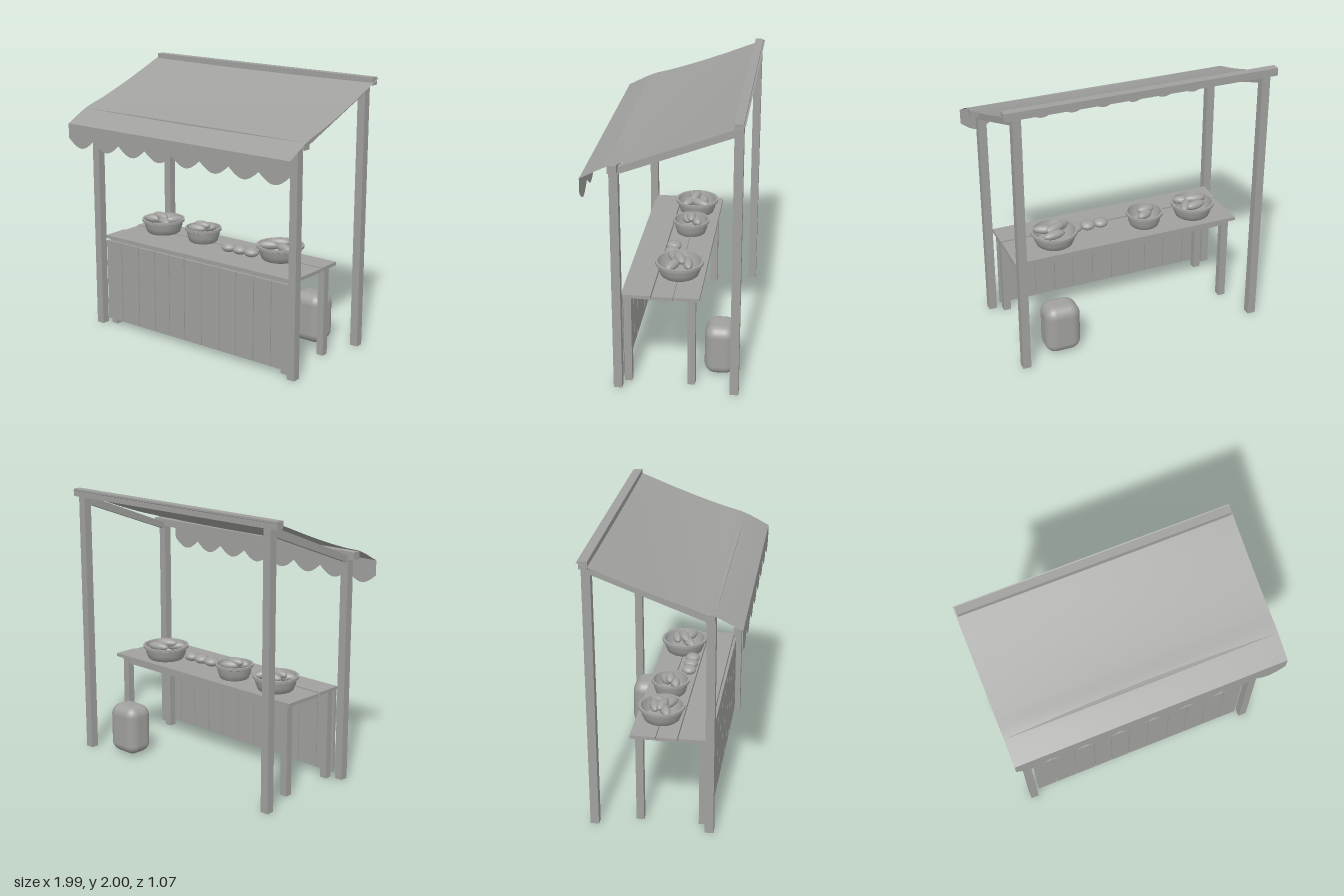
import * as THREE from 'three';
import { RoundedBoxGeometry } from 'three/addons/geometries/RoundedBoxGeometry.js';
import { toCreasedNormals } from 'three/addons/utils/BufferGeometryUtils.js';

const grey = new THREE.MeshStandardMaterial({ color: 0xa0a09e, side: THREE.DoubleSide });
grey.name = 'plain grey';

export function createModel() {
  const model = new THREE.Group();
  model.name = 'marketStall';

  const add = (name, geometry, x = 0, y = 0, z = 0, parent = model) => {
    const mesh = new THREE.Mesh(geometry, grey);
    mesh.name = name;
    mesh.position.set(x, y, z);
    parent.add(mesh);
    return mesh;
  };
  // box given by its extents
  const box = (name, x0, x1, y0, y1, z0, z1) =>
    add(name, new THREE.BoxGeometry(x1 - x0, y1 - y0, z1 - z0), (x0 + x1) / 2, (y0 + y1) / 2, (z0 + z1) / 2);

  // frame: posts, rafters and cross beams
  for (const s of [-1, 1]) {
    const cx = s * 0.9;
    box('frontPost', cx - 0.03, cx + 0.03, 0, 1.63, 0.29, 0.35);
    box('backPost', cx - 0.03, cx + 0.03, 0, 1.95, -0.52, -0.46);
    const side = new THREE.Shape([[0.3, 1.6], [0.3, 1.65], [-0.47, 1.95], [-0.47, 1.89]]
      .map(([z, y]) => new THREE.Vector2(-z, y)));
    const rafter = add('rafter', new THREE.ExtrudeGeometry(side, { depth: 0.05, bevelEnabled: false }), cx - 0.025);
    rafter.rotation.y = Math.PI / 2;
  }
  box('frontBeam', -0.98, 0.98, 1.625, 1.68, 0.29, 0.35);
  box('backBeam', -0.985, 0.985, 1.945, 2, -0.522, -0.463);

  // awning cloth, sagging a little in the middle
  const profile = new THREE.CatmullRomCurve3([
    [1.99, -0.535], [1.96, -0.45], [1.87, -0.22], [1.79, 0], [1.728, 0.19], [1.684, 0.34], [1.59, 0.53],
  ].map(([y, z]) => new THREE.Vector3(0, y, z)));
  const cloth = new THREE.PlaneGeometry(1.99, 1, 24, 24);
  const cp = cloth.attributes.position;
  for (let i = 0; i < cp.count; i++) {
    const x = cp.getX(i);
    const t = THREE.MathUtils.clamp(0.5 - cp.getY(i), 0, 1);
    const p = profile.getPoint(t);
    const sag = 0.018 * (1 - x * x) * Math.sin(Math.PI * t);
    cp.setXYZ(i, x, p.y - sag, p.z);
  }
  cloth.computeVertexNormals();
  add('awningCloth', cloth);

  // hanging front edge with eight scallops
  const edge = new THREE.Shape();
  edge.moveTo(0.995, 1.59);
  edge.lineTo(-0.995, 1.59);
  const steps = 96;
  for (let i = 0; i <= steps; i++) {
    const wave = Math.sin((Math.PI * 8 * i) / steps);
    edge.lineTo(-0.995 + (1.99 * i) / steps, 1.483 - 0.067 * Math.abs(wave));
  }
  add('scallopedValance', new THREE.ShapeGeometry(edge), 0, 0, 0.53);

  // counter: top planks, legs and rails
  box('counterPlank', -0.87, 0.87, 0.675, 0.7, 0.095, 0.29);
  box('counterPlank', -0.865, 0.865, 0.669, 0.695, -0.058, 0.086);
  box('counterPlank', -0.87, 0.87, 0.675, 0.7, -0.24, -0.062);
  for (const s of [-1, 1]) {
    for (const z of [-0.182, 0.262]) {
      box('counterLeg', s * 0.803 - 0.027, s * 0.803 + 0.027, 0, 0.675, z - 0.027, z + 0.027);
    }
  }
  box('backRail', -0.8, 0.8, 0.63, 0.674, -0.205, -0.16);
  box('frontRail', -0.8, 0.8, 0.63, 0.674, 0.24, 0.288);

  // front panel boards with narrow gaps
  const seams = [-0.85, -0.695, -0.525, -0.365, -0.225, -0.08, 0.08, 0.245, 0.395, 0.55, 0.7, 0.845];
  for (let i = 0; i < seams.length - 1; i++) {
    box('frontBoard', seams[i] + 0.003, seams[i + 1] - 0.003, 0.04, 0.668, 0.29, 0.31);
  }

  // bowls, each with a few long loaves
  const bowlProfile = [[0, 0], [0.72, 0], [0.78, 0.008], [0.87, 0.045], [0.92, 0.085], [1, 0.09], [1, 0.108],
    [0.9, 0.108], [0.83, 0.06], [0.7, 0.025], [0, 0.025]];
  const loaf = new THREE.SphereGeometry(1, 20, 14);
  const bowls = [
    { x: -0.595, r: 0.163, loaves: [[-0.06, 0.03, 0.4], [0.05, 0.05, -0.5], [0, -0.05, 0.2], [0.07, -0.03, 1], [-0.02, 0.01, -0.2]] },
    { x: -0.2, r: 0.138, loaves: [[-0.03, 0.035, 0.3], [0.01, -0.035, 0.5], [-0.01, 0, 0.1]] },
    { x: 0.51, r: 0.172, loaves: [[-0.06, 0.04, 0.6], [0.06, 0.04, -0.4], [0.02, -0.06, 0.2], [-0.01, 0, 0.4]] },
  ];
  for (const { x, r, loaves } of bowls) {
    const group = new THREE.Group();
    group.name = 'filledBowl';
    group.position.set(x, 0.698, -0.06);
    model.add(group);
    const points = bowlProfile.map(([px, py]) => new THREE.Vector2(px * r, py));
    add('bowl', toCreasedNormals(new THREE.LatheGeometry(points, 40), 0.6), 0, 0, 0, group);
    loaves.forEach(([lx, lz, turn], i) => {
      const top = i === loaves.length - 1;
      const mesh = add('loaf', loaf, lx, top ? 0.122 : 0.1, lz, group);
      mesh.scale.set(r * 0.5, 0.032, 0.036);
      mesh.rotation.y = turn;
    });
  }

  // loose round buns
  for (const x of [0.115, 0.217, 0.32]) {
    add('bun', new THREE.SphereGeometry(1, 24, 16), x, 0.73, 0.03).scale.set(0.056, 0.034, 0.054);
  }

  // plump sack behind the counter
  const sack = new RoundedBoxGeometry(0.26, 0.375, 0.215, 8, 0.075);
  const sp = sack.attributes.position;
  for (let i = 0; i < sp.count; i++) {
    const bulge = 1.05 - 0.09 * Math.pow(sp.getY(i) / 0.19, 2);
    sp.setX(i, sp.getX(i) * bulge);
    sp.setZ(i, sp.getZ(i) * bulge);
  }
  add('sack', sack, 0.59, 0.197, -0.367);

  return model;
}
